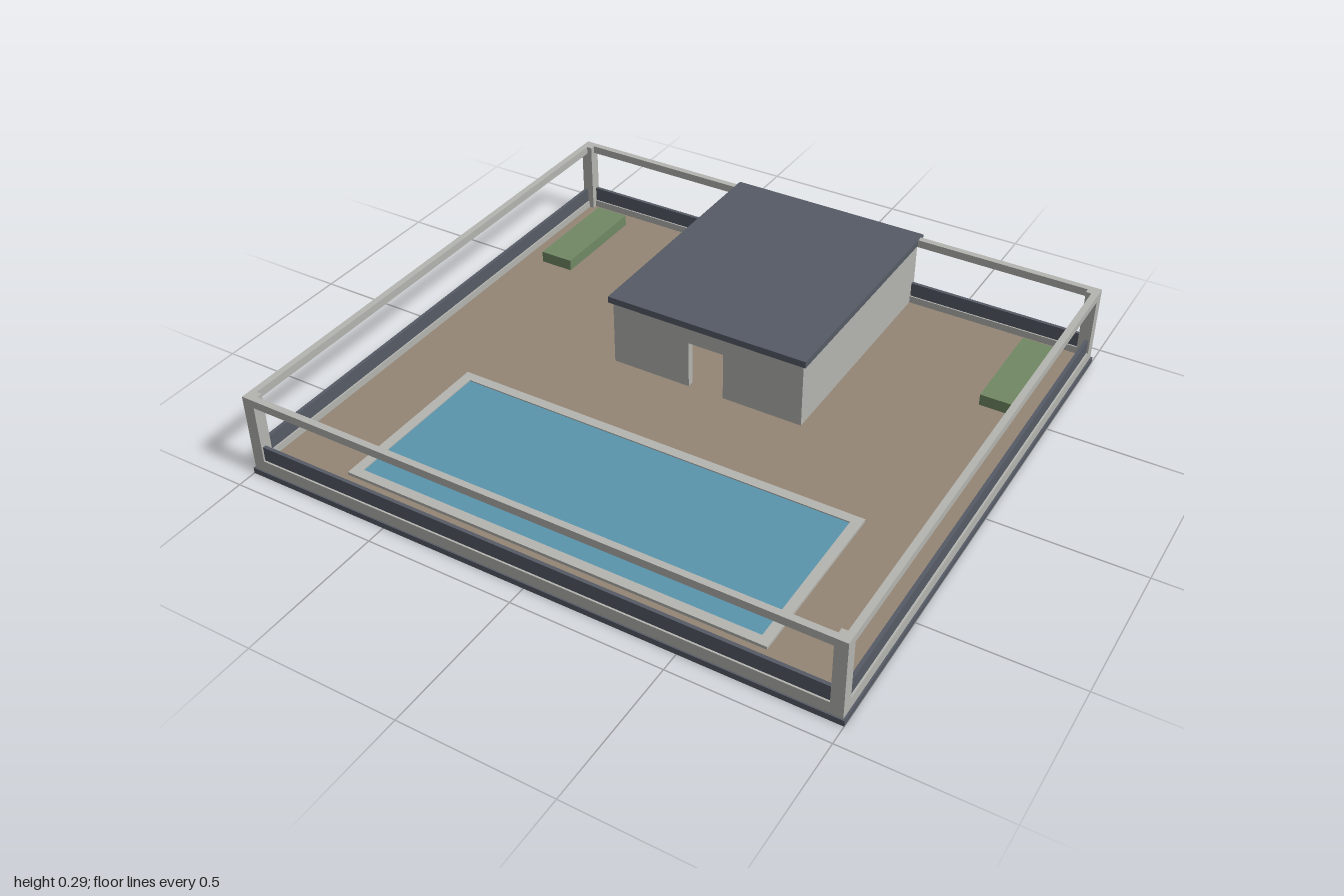
import * as THREE from 'three';

const material = (name, color) => new THREE.MeshStandardMaterial({ name, color });

export function createModel() {
  const concrete = material('light concrete', 0xb4b5b0);
  const slate = material('dark slate', 0x565b65);
  const earth = material('tan paving', 0x948676);
  const water = material('pool water', 0x5b95ad);
  const hedge = material('hedge green', 0x708864);

  const model = new THREE.Group();
  model.name = 'poolTerrace';

  // Box given by its limits on each axis
  function box(name, mat, [x0, x1], [y0, y1], [z0, z1], parent = model) {
    const mesh = new THREE.Mesh(new THREE.BoxGeometry(x1 - x0, y1 - y0, z1 - z0), mat);
    mesh.position.set((x0 + x1) / 2, (y0 + y1) / 2, (z0 + z1) / 2);
    mesh.name = name;
    parent.add(mesh);
    return mesh;
  }

  // Rectangular frame of even width with an open middle
  function frame(name, mat, [x0, x1], [y0, y1], [z0, z1], width) {
    const outer = new THREE.Shape([[x0, -z1], [x1, -z1], [x1, -z0], [x0, -z0]]
      .map(([x, y]) => new THREE.Vector2(x, y)));
    const w = width;
    outer.holes.push(new THREE.Path([[x0 + w, -z1 + w], [x0 + w, -z0 - w], [x1 - w, -z0 - w], [x1 - w, -z1 + w]]
      .map(([x, y]) => new THREE.Vector2(x, y))));
    const geometry = new THREE.ExtrudeGeometry(outer, { depth: y1 - y0, bevelEnabled: false });
    geometry.rotateX(-Math.PI / 2);
    const mesh = new THREE.Mesh(geometry, mat);
    mesh.position.y = y0;
    mesh.name = name;
    model.add(mesh);
  }

  // Ground slab, paving and dark plinth
  box('groundSlab', concrete, [-0.99, 0.99], [0, 0.03], [-0.91, 0.925]);
  box('paving', earth, [-0.98, 0.98], [0.03, 0.035], [-0.9, 0.915]);
  frame('plinth', slate, [-1, 1], [0, 0.02], [-0.92, 0.935], 0.012);

  // Boundary: kerb, low dark wall, top rail and corner posts
  const fenceX = [-0.994, 0.994];
  const fenceZ = [-0.915, 0.93];
  frame('boundaryKerb', concrete, fenceX, [0.02, 0.06], fenceZ, 0.023);
  frame('lowWall', slate, [-0.988, 0.988], [0.06, 0.11], [-0.909, 0.924], 0.012);
  frame('topRail', concrete, fenceX, [0.262, 0.289], fenceZ, 0.022);
  for (const sx of [-1, 1]) {
    const x = sx < 0 ? [-0.994, -0.954] : [0.954, 0.994];
    box('cornerPost', concrete, x, [0.02, 0.289], [0.89, 0.93]);
    box('cornerPost', concrete, x, [0.02, 0.289], [-0.915, -0.875]);
  }

  // Pool
  frame('poolEdge', concrete, [-0.717, 0.717], [0.03, 0.045], [0.23, 0.827], 0.033);
  box('poolWater', water, [-0.684, 0.684], [0.035, 0.041], [0.263, 0.794]);

  // Hollow house with a doorway
  const house = new THREE.Group();
  house.name = 'house';
  model.add(house);
  const front = new THREE.Shape([[-0.345, 0.035], [-0.063, 0.035], [-0.063, 0.204], [0.063, 0.204],
    [0.063, 0.035], [0.345, 0.035], [0.345, 0.268], [-0.345, 0.268]]
    .map(([x, y]) => new THREE.Vector2(x, y)));
  const frontWall = new THREE.Mesh(
    new THREE.ExtrudeGeometry(front, { depth: 0.025, bevelEnabled: false }), concrete);
  frontWall.position.z = -0.105;
  frontWall.name = 'frontWall';
  house.add(frontWall);
  box('rightWall', concrete, [-0.345, -0.32], [0.035, 0.268], [-0.89, -0.105], house);
  box('leftWall', concrete, [0.32, 0.345], [0.035, 0.268], [-0.89, -0.105], house);
  box('backWall', concrete, [-0.345, 0.345], [0.035, 0.268], [-0.918, -0.885], house);
  box('roof', slate, [-0.357, 0.357], [0.267, 0.29], [-0.935, -0.068], house);

  // Planting beds in the rear corners
  for (const x of [[-0.902, -0.782], [0.782, 0.902]]) {
    box('plantingBed', hedge, x, [0.035, 0.075], [-0.832, -0.465]);
  }

  return model;
}
